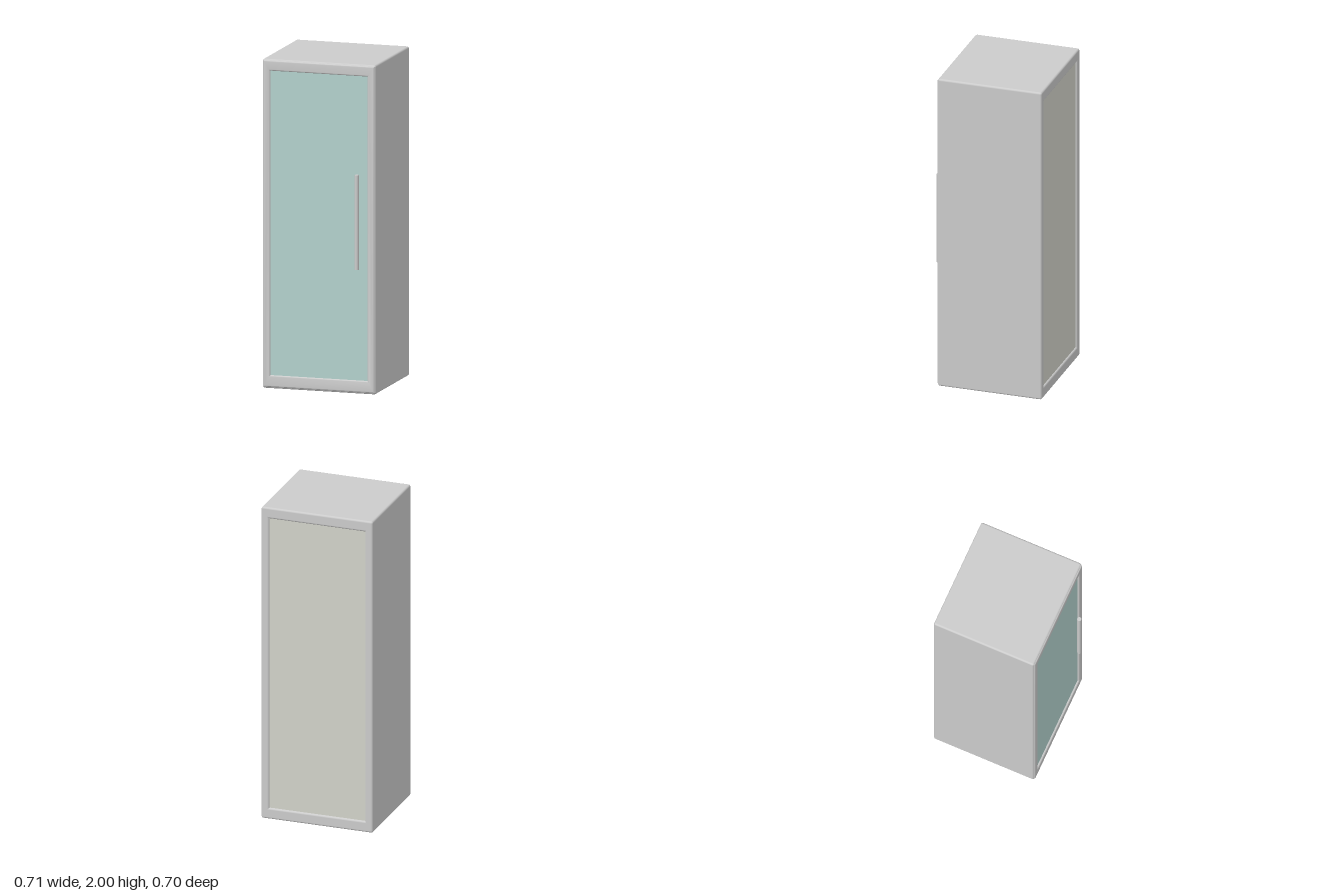
import * as THREE from 'three';
import { toCreasedNormals } from 'three/addons/utils/BufferGeometryUtils.js';
import { RoundedBoxGeometry } from 'three/addons/geometries/RoundedBoxGeometry.js';

const HALF_W = 0.355, HEIGHT = 2, BACK = -0.35, FRONT = 0.31;
const OPEN_X = 0.305, OPEN_BOTTOM = 0.08, OPEN_TOP = 1.93;

export function createModel() {
  const model = new THREE.Group();
  model.name = 'displayCabinet';

  const grey = new THREE.MeshStandardMaterial({ color: 0xcccccc });
  const glassBlue = new THREE.MeshStandardMaterial({ color: 0xb4d2ce });
  const panelCream = new THREE.MeshStandardMaterial({ color: 0xd2d3c9 });

  const add = (name, geometry, material, x = 0, y = 0, z = 0) => {
    const mesh = new THREE.Mesh(geometry, material);
    mesh.name = name;
    mesh.position.set(x, y, z);
    model.add(mesh);
  };

  // Board given by its limits, with softly rounded edges
  const board = (name, [x0, x1], [y0, y1], [z0, z1], radius = 0.012) =>
    add(name, new RoundedBoxGeometry(x1 - x0, y1 - y0, z1 - z0, 4, radius), grey,
      (x0 + x1) / 2, (y0 + y1) / 2, (z0 + z1) / 2);

  // Carcass: two sides, top and bottom
  const bodyFront = 0.304;
  board('rightSide', [-HALF_W, -OPEN_X], [0, HEIGHT], [BACK, bodyFront]);
  board('leftSide', [OPEN_X, HALF_W], [0, HEIGHT], [BACK, bodyFront]);
  board('topBoard', [-HALF_W, HALF_W], [OPEN_TOP, HEIGHT], [BACK, bodyFront]);
  board('bottomBoard', [-HALF_W, HALF_W], [0, OPEN_BOTTOM - 0.01], [BACK, bodyFront]);

  // Door frame: bevelled ring around the glass
  const rect = (path, x, y0, y1) => path
    .moveTo(-x, y0).lineTo(x, y0).lineTo(x, y1).lineTo(-x, y1).closePath();
  const ring = rect(new THREE.Shape(), HALF_W - 0.006, 0.008, HEIGHT - 0.006);
  ring.holes.push(rect(new THREE.Path(), OPEN_X, OPEN_BOTTOM, OPEN_TOP));
  const bevel = 0.01;
  const frame = new THREE.ExtrudeGeometry(ring, {
    depth: 0.02, bevelEnabled: true, bevelSize: bevel, bevelThickness: bevel,
    bevelOffset: -bevel, bevelSegments: 4,
  });
  add('doorFrame', toCreasedNormals(frame, 0.6), grey, 0, 0, FRONT - 0.03);

  // Recessed glass pane and back panel
  const paneHeight = OPEN_TOP - OPEN_BOTTOM + 0.01;
  const paneY = (OPEN_TOP + OPEN_BOTTOM) / 2;
  add('doorGlass', new THREE.BoxGeometry(2 * OPEN_X, paneHeight, 0.012), glassBlue, 0, paneY, 0.292);
  add('backPanel', new THREE.BoxGeometry(2 * OPEN_X, paneHeight + 0.01, 0.015), panelCream, 0, paneY, -0.3325);

  // Upright bar handle
  add('doorHandle', new THREE.CylinderGeometry(0.0125, 0.0125, 0.575, 24), grey, 0.247, 1.047, 0.335);

  return model;
}
